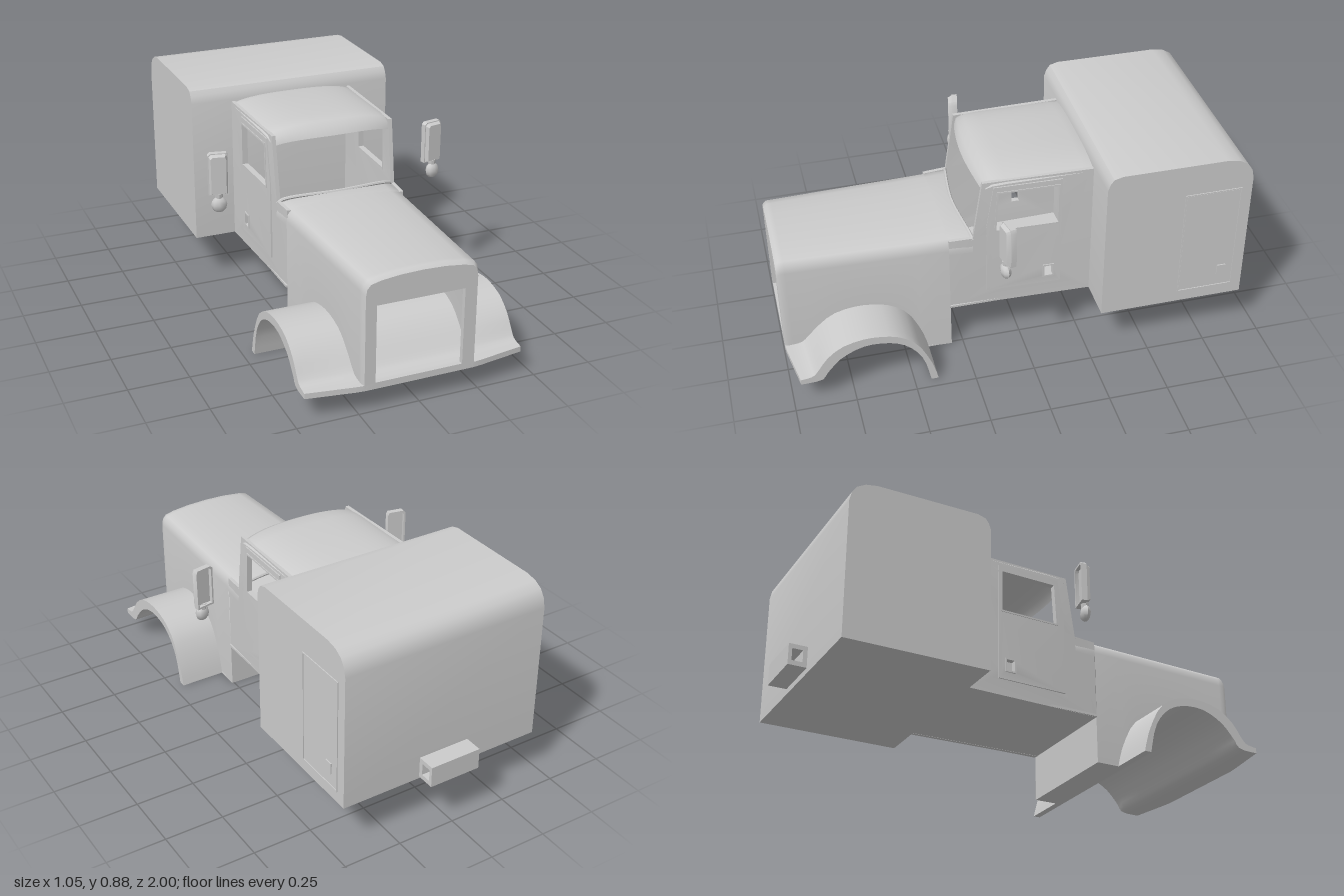
import * as THREE from 'three';
import { toCreasedNormals } from 'three/addons/utils/BufferGeometryUtils.js';

const mat = new THREE.MeshStandardMaterial({ color: 0xcccccc, side: THREE.DoubleSide });

function add(parent, name, geo, crease = 0.6) {
  const mesh = new THREE.Mesh(toCreasedNormals(geo, crease), mat);
  mesh.name = name;
  parent.add(mesh);
  return mesh;
}

// Surface through equal-length rows of [x, y, z] points
function loft(rows) {
  const n = rows[0].length, index = [];
  for (let r = 0; r < rows.length - 1; r++)
    for (let i = 0; i < n - 1; i++) {
      const a = r * n + i, b = a + n;
      index.push(a, a + 1, b, a + 1, b + 1, b);
    }
  const geo = new THREE.BufferGeometry();
  geo.setAttribute('position', new THREE.Float32BufferAttribute(rows.flat(2), 3));
  geo.setIndex(index);
  geo.computeVertexNormals();
  return geo;
}

const rect = (a0, a1, b0, b1) => [[a0, b0], [a1, b0], [a1, b1], [a0, b1]];
const vecs = (pts, s = 1) => pts.map(([a, b]) => new THREE.Vector2(s * a, b));

// Side outline of [z, y] points, extruded from x0 to x1
function sideExtrude(pts, x0, x1, holes = [], steps = 1) {
  const shape = new THREE.Shape(vecs(pts, -1));
  shape.holes = holes.map(h => new THREE.Path(vecs(h, -1)));
  const geo = new THREE.ExtrudeGeometry(shape, { depth: x1 - x0, bevelEnabled: false, steps });
  return geo.rotateY(Math.PI / 2).translate(x0, 0, 0);
}

// Front outline of [x, y] points, extruded from z0 to z1
function frontExtrude(pts, z0, z1, holes = []) {
  const shape = new THREE.Shape(vecs(pts));
  shape.holes = holes.map(h => new THREE.Path(vecs(h)));
  return new THREE.ExtrudeGeometry(shape, { depth: z1 - z0, bevelEnabled: false }).translate(0, 0, z0);
}

function warp(geo, rule) {
  const p = geo.attributes.position, v = new THREE.Vector3();
  for (let i = 0; i < p.count; i++) {
    rule(v.fromBufferAttribute(p, i));
    p.setXYZ(i, v.x, v.y, v.z);
  }
  return geo;
}

// Half of a crowned body section, outer side first, then mirrored
function crown(w, y0, top) {
  const half = [[w, y0], [w, top - 0.07], [w - 0.005, top - 0.04], [w - 0.02, top - 0.022],
    [w - 0.06, top - 0.012], [w * 0.4, top - 0.003]];
  return [...half, [0, top], ...half.map(([x, y]) => [-x, y]).reverse()];
}

const smooth = pts => new THREE.SplineCurve(vecs(pts)).getPoints(22).map(v => [v.x, v.y]);
const bodyWidth = z => z < 0 ? 0.278 : z < 0.3 ? 0.278 - 0.06 * z : 0.26 - 0.036 * (z - 0.3);

function buildHood(group) {
  const lower = smooth([[0.43, 0], [0.46, 0.12], [0.52, 0.2], [0.6, 0.237], [0.7, 0.24],
    [0.79, 0.2], [0.85, 0.14], [0.89, 0.1], [1, 0.095]]);
  const upper = smooth([[0.4, 0], [0.425, 0.09], [0.48, 0.2], [0.55, 0.255], [0.62, 0.275],
    [0.7, 0.278], [0.79, 0.255], [0.86, 0.2], [0.91, 0.145], [0.94, 0.125], [1, 0.118]]);

  // Hood skin, cut away along the wheel arch
  const rows = [[0.3, 0], ...lower.slice(0, -1), [0.985, 0.096], [1, 0.1]].filter(([z], i, a) => !i || z > a[i - 1][0]);
  add(group, 'hood', loft(rows.map(([z, y]) => {
    const nose = z > 0.995 ? 0.012 : 0;
    return crown(bodyWidth(z) - nose / 2, y, 0.567 - nose).map(([a, b]) => [a, b, z]);
  })), 0.9);

  // Grille surround
  const face = crown(bodyWidth(1) - 0.006, 0.1, 0.555);
  add(group, 'grilleSurround', frontExtrude(face, 0.98, 1, [rect(-0.184, 0.178, 0.122, 0.444)]));

  // One arched sheet forms both fenders and the tray under the hood
  const arch = sideExtrude([...lower, ...[...upper].reverse()], -0.455, 0.455, [], 24);
  warp(arch, v => {
    const out = Math.max(0, Math.abs(v.x) - 0.24) / 0.215;
    if (v.z > 0.85) v.z -= 0.035 * out * (v.z - 0.85) / 0.15;
  });
  add(group, 'fenders', arch, 0.7);

  // Skirt behind the wheels
  add(group, 'rearSkirt', new THREE.BoxGeometry(0.516, 0.2, 0.006).translate(0, 0.1, 0.303));
  add(group, 'skirtFloor', new THREE.BoxGeometry(0.516, 0.006, 0.13).translate(0, 0.003, 0.365));
}

function buildCab(group) {
  const windowHole = [[-0.155, 0.58], [0.105, 0.58], [0.095, 0.76], [-0.155, 0.76]];
  const latchHole = rect(-0.135, -0.1, 0.31, 0.358);
  const wall = [[-0.3, 0.2], [0.3, 0.2], [0.3, 0.545], [0.2, 0.548], [0.16, 0.815], [-0.3, 0.815]];
  const door = [[-0.17, 0.27], [0.145, 0.27], [0.145, 0.6], [0.115, 0.79], [-0.17, 0.79]];
  const frame = [[-0.162, 0.573], [0.113, 0.573], [0.102, 0.767], [-0.162, 0.767]];

  for (const s of [1, -1]) {
    const side = s > 0 ? 'left' : 'right';
    const place = (name, pts, inner, outer, holes) => {
      const a = s * inner, b = s * outer;
      const geo = sideExtrude(pts, Math.min(a, b), Math.max(a, b), holes);
      add(group, side + name, warp(geo, v => { v.x += s * (bodyWidth(v.z) - 0.278); }));
    };
    place('CabWall', wall, 0.26, 0.276, [windowHole, latchHole]);
    place('Door', door, 0.27, 0.28, [windowHole, latchHole]);
    place('WindowFrame', frame, 0.258, 0.283, [windowHole]);
    place('DoorHandle', rect(-0.142, -0.093, 0.303, 0.365), 0.27, 0.284, [latchHole]);
  }
  add(group, 'cabFloor', new THREE.BoxGeometry(0.53, 0.01, 0.6).translate(0, 0.206, 0));

  // Crowned roof that drops into a visor over the windscreen
  const roofRow = (z, w, edge, mid, bow) => {
    const row = [];
    for (let i = 0; i <= 16; i++) {
      const t = Math.cos(i * Math.PI / 16);
      row.push([w * t, edge + (mid - edge) * Math.pow(1 - Math.pow(Math.abs(t), 3), 0.7), z + bow * (1 - t * t)]);
    }
    return row;
  };
  add(group, 'roof', loft([
    roofRow(-0.3, 0.276, 0.8, 0.832, 0), roofRow(-0.26, 0.276, 0.803, 0.842, 0),
    roofRow(0.06, 0.275, 0.803, 0.843, 0), roofRow(0.12, 0.274, 0.8, 0.84, 0.015),
    roofRow(0.145, 0.27, 0.79, 0.825, 0.02), roofRow(0.155, 0.262, 0.765, 0.79, 0.03),
  ]), 1.2);

  // Cowl between hood and windscreen
  const cowlTop = (z, bow, lift) => crown(bodyWidth(z), 0.48, 0.567 + lift)
    .map(([x, y]) => [x, y, z + bow * (1 - (x / 0.27) ** 2)]);
  add(group, 'cowl', loft([cowlTop(0.2, 0.03, -0.004), cowlTop(0.26, 0.01, 0), cowlTop(0.3, 0, 0)]), 0.9);
  const sill = new THREE.CatmullRomCurve3([[-0.262, 0.538, 0.2], [-0.24, 0.553, 0.205], [0, 0.563, 0.23],
    [0.24, 0.553, 0.205], [0.262, 0.538, 0.2]].map(p => new THREE.Vector3(...p)));
  add(group, 'windscreenSill', new THREE.TubeGeometry(sill, 20, 0.007, 6));
}

function buildSleeper(group) {
  const profile = [[-0.3, 0.2], [-0.3, 0.825], [-0.31, 0.855], [-0.325, 0.875], [-0.36, 0.885], [-0.8, 0.885],
    [-0.85, 0.876], [-0.885, 0.856], [-0.906, 0.825], [-0.915, 0.785], [-0.915, 0.2]];
  add(group, 'sleeperBox', sideExtrude(profile, -0.455, 0.455));

  // Side hatch
  add(group, 'hatchPanel', sideExtrude(rect(-0.865, -0.637, 0.258, 0.738), 0.45, 0.457));
  add(group, 'hatchTrim', sideExtrude(rect(-0.872, -0.63, 0.25, 0.745), 0.45, 0.459,
    [rect(-0.867, -0.635, 0.256, 0.74)]));
  add(group, 'hatchHandle', sideExtrude(rect(-0.835, -0.798, 0.312, 0.36), 0.45, 0.462));

  // Hollow rear bracket
  add(group, 'rearBracket', sideExtrude(rect(-1, -0.922, 0.215, 0.305), -0.113, 0.113,
    [rect(-0.985, -0.94, 0.235, 0.286)]));
}

function buildMirror(s) {
  const mirror = new THREE.Group();
  mirror.name = s > 0 ? 'leftMirror' : 'rightMirror';
  const outline = k => [[-0.041, -0.09], [0.041, -0.09], [0.043, 0.075], [0.036, 0.09], [-0.03, 0.09], [-0.041, 0.08]]
    .map(([x, y]) => [x * k, y * (1 + (k - 1) * 0.5)]);
  add(mirror, 'mirrorRim', frontExtrude(outline(1), -0.02, 0.004, [outline(0.82)]));
  const shell = warp(frontExtrude(outline(1), -0.004, 0.02), v => {
    if (v.z > 0.01) { v.x *= 0.75; v.y *= 0.88; }
  });
  add(mirror, 'mirrorShell', shell);
  add(mirror, 'mirrorStem', new THREE.CylinderGeometry(0.018, 0.014, 0.03, 8).translate(0, -0.095, 0.005));
  add(mirror, 'spotMirror', new THREE.SphereGeometry(0.033, 8, 6).scale(1, 1.05, 0.65).translate(0, -0.129, 0.008), 0.9);
  mirror.position.set(s * 0.481, 0.667, 0.112);
  mirror.rotation.y = s * 0.2;
  return mirror;
}

export function createModel() {
  const model = new THREE.Group();
  model.name = 'truckCab';
  for (const [name, build] of [['hoodAssembly', buildHood], ['cab', buildCab], ['sleeper', buildSleeper]]) {
    const part = new THREE.Group();
    part.name = name;
    build(part);
    model.add(part);
  }
  model.add(buildMirror(1), buildMirror(-1));
  return model;
}
